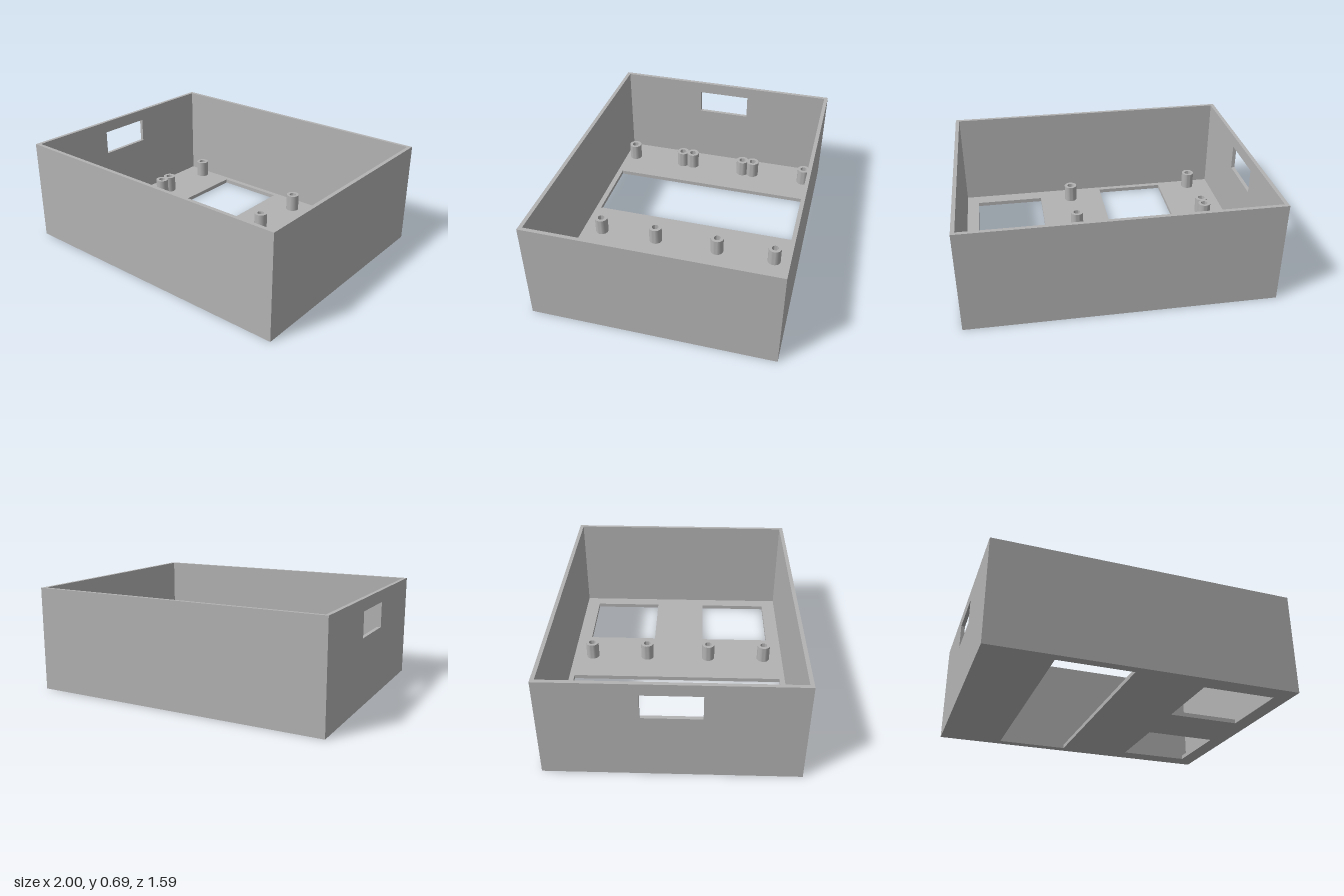
import * as THREE from 'three';
import { toCreasedNormals } from 'three/addons/utils/BufferGeometryUtils.js';

const W = 2, D = 1.59, H = 0.69; // outer size
const WALL = 0.025, FLOOR = 0.028;
const POST_TOP = 0.146;

// Closed rectangle from corner a to corner b
function rect(Type, x0, y0, x1, y1) {
  const r = new Type();
  r.moveTo(x0, y0);
  r.lineTo(x1, y0);
  r.lineTo(x1, y1);
  r.lineTo(x0, y1);
  r.closePath();
  return r;
}

function plate(outline, holes, depth) {
  const shape = rect(THREE.Shape, ...outline);
  for (const h of holes) shape.holes.push(rect(THREE.Path, ...h));
  return new THREE.ExtrudeGeometry(shape, { depth, bevelEnabled: false });
}

export function createModel() {
  const group = new THREE.Group();
  const grey = new THREE.MeshStandardMaterial({ color: 0xb3b3b3 });
  grey.name = 'grey plastic';

  function add(name, geometry, x = 0, y = 0, z = 0) {
    const mesh = new THREE.Mesh(geometry, grey);
    mesh.name = name;
    mesh.position.set(x, y, z);
    group.add(mesh);
    return mesh;
  }

  // Floor with one long and two square openings (shape y becomes -z)
  const floor = plate([-W / 2, -D / 2, W / 2, D / 2], [
    [-0.57, -0.734, -0.08, 0.734],
    [0.4, 0.184, 0.89, 0.672],
    [0.4, -0.672, 0.89, -0.184],
  ], FLOOR);
  floor.rotateX(-Math.PI / 2);
  add('floor', floor);

  // Front and back walls
  const wallH = H - FLOOR, midY = FLOOR + wallH / 2;
  for (const s of [1, -1]) {
    add(s > 0 ? 'frontWall' : 'backWall', new THREE.BoxGeometry(W, wallH, WALL),
      0, midY, s * (D - WALL) / 2);
  }

  // Plain side wall at +x
  const inner = D - 2 * WALL;
  add('plainSideWall', new THREE.BoxGeometry(WALL, wallH, inner), (W - WALL) / 2, midY, 0);

  // Side wall at -x with a cable window
  const side = plate([-inner / 2, FLOOR, inner / 2, H], [[-0.185, 0.443, 0.185, 0.61]], WALL);
  side.rotateY(Math.PI / 2);
  add('windowSideWall', side, -W / 2, 0, 0);

  // Hollow screw posts
  const R = 0.0455, r = 0.024;
  const profile = [[R, FLOOR], [R, POST_TOP], [r, POST_TOP], [r, FLOOR]]
    .map(([x, y]) => new THREE.Vector2(x, y));
  const post = toCreasedNormals(new THREE.LatheGeometry(profile, 32), 0.6);
  const columns = [
    [-0.8, [0.204, 0.287, 0.693]],
    [0.166, [0.225, 0.631]],
  ];
  for (const [x, depths] of columns) {
    for (const z of depths) {
      for (const s of [1, -1]) add('screwPost', post, x, 0, s * z);
    }
  }

  return group;
}
